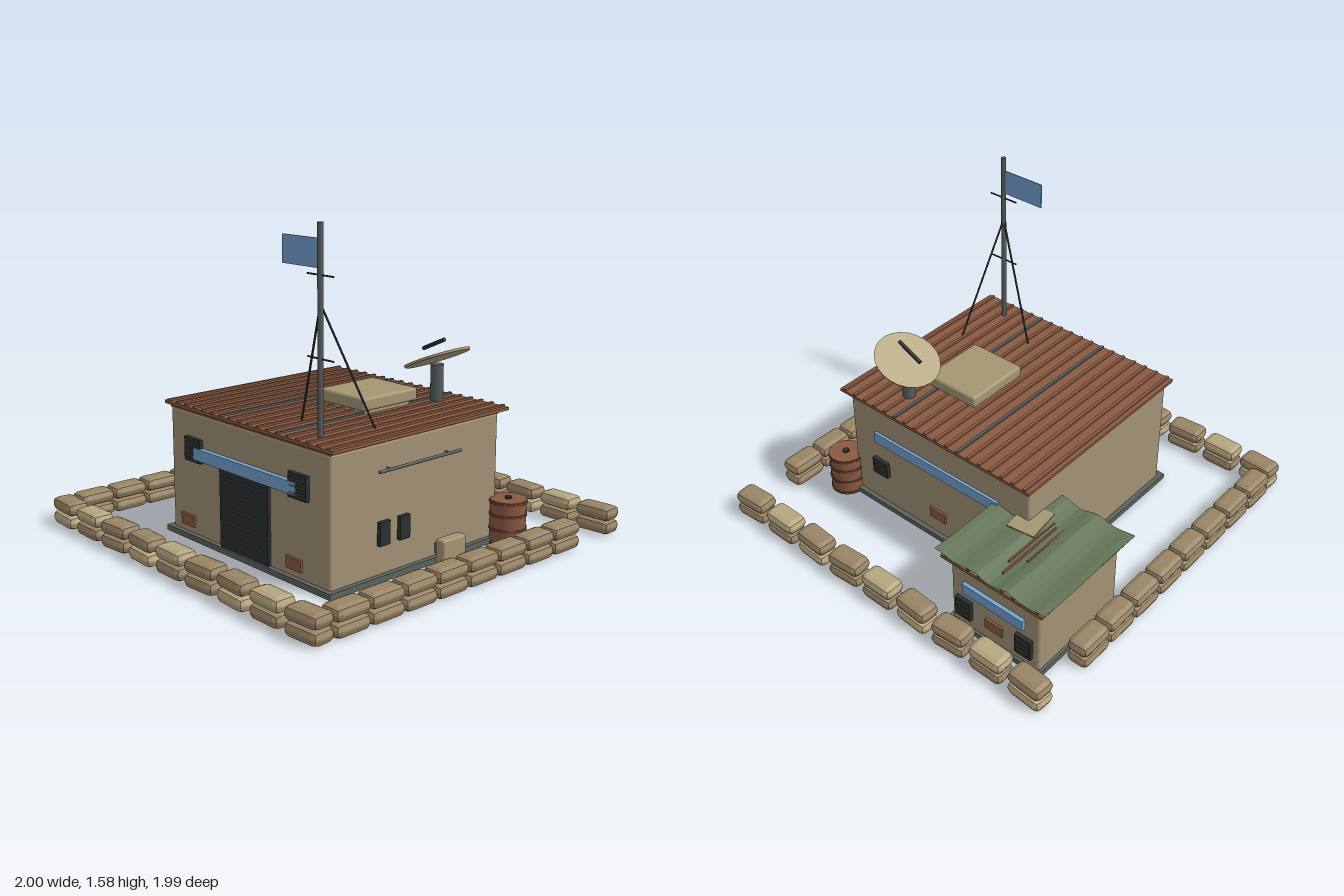
import * as THREE from 'three';
import { RoundedBoxGeometry } from 'three/addons/geometries/RoundedBoxGeometry.js';

const paint = (color, opts = {}) => new THREE.MeshStandardMaterial({ color, ...opts });
const MAT = {
  wall: paint(0xa39275), slab: paint(0x5c635f), rust: paint(0x8a5a42), rustDark: paint(0x6e4735),
  dark: paint(0x2b302f), slat: paint(0x454b49), steel: paint(0x565c5d), blue: paint(0x74a3d1),
  blueThin: paint(0x74a3d1, { side: THREE.DoubleSide }),
  tarp: paint(0x65775a, { side: THREE.DoubleSide, flatShading: true }),
  sand: paint(0xa59673), dish: paint(0xb8a983),
  bag: paint(0x9a8566, { flatShading: true }), bagLight: paint(0xb7a780, { flatShading: true }),
};

function add(parent, name, geometry, mat, x = 0, y = 0, z = 0) {
  const mesh = new THREE.Mesh(geometry, mat);
  mesh.name = name;
  mesh.position.set(x, y, z);
  parent.add(mesh);
  return mesh;
}

// box given by its extents on each axis, optionally with rounded edges
function block(parent, name, mat, [x0, x1], [y0, y1], [z0, z1], radius = 0) {
  const size = [x1 - x0, y1 - y0, z1 - z0];
  const geometry = radius ? new RoundedBoxGeometry(...size, 2, radius) : new THREE.BoxGeometry(...size);
  return add(parent, name, geometry, mat, (x0 + x1) / 2, (y0 + y1) / 2, (z0 + z1) / 2);
}

// round bar between two points
function rod(parent, name, mat, a, b, radius, sides = 8) {
  const p = new THREE.Vector3(...a), q = new THREE.Vector3(...b);
  const mesh = add(parent, name, new THREE.CylinderGeometry(radius, radius, p.distanceTo(q), sides), mat);
  mesh.position.copy(p).add(q).multiplyScalar(0.5);
  mesh.quaternion.setFromUnitVectors(new THREE.Vector3(0, 1, 0), q.sub(p).normalize());
  return mesh;
}

function group(parent, name) {
  const g = new THREE.Group();
  g.name = name;
  parent.add(g);
  return g;
}

// corrugated sheet with ribs along z
function corrugatedRoof(parent, name, x, y, z, ribs) {
  const g = group(parent, name);
  block(g, 'roofSheet', MAT.rust, x, y, z);
  const step = (x[1] - x[0] - 0.06) / (ribs - 1);
  for (let i = 0; i < ribs; i++) {
    const cx = x[0] + 0.03 + i * step;
    const mat = i % 6 === 0 && i > 0 && i < ribs - 1 ? MAT.steel : MAT.rust;
    block(g, 'roofRib', mat, [cx - 0.008, cx + 0.008], [y[1] - 0.003, y[1] + 0.009], [z[0] + 0.002, z[1] - 0.002]);
  }
}

// dark panel with slats, centred on a wall facing z (sign dir)
function shutter(parent, cx, cy, w, h, z, dir) {
  const g = group(parent, 'shutter');
  add(g, 'shutterPanel', new THREE.BoxGeometry(w, h, 0.024), MAT.dark, cx, cy, z + dir * 0.008);
  for (let i = -1; i <= 1; i++)
    add(g, 'shutterSlat', new THREE.BoxGeometry(w * 0.8, 0.008, 0.008), MAT.slat, cx, cy + i * h * 0.27, z + dir * 0.021);
}

// roller door with ribs, on a front wall
function rollerDoor(parent, x, y, z, ribs) {
  const g = group(parent, 'rollerDoor');
  block(g, 'doorPanel', MAT.dark, x, y, [z - 0.01, z + 0.016]);
  for (let i = 1; i <= ribs; i++) {
    const cy = y[0] + (y[1] - y[0]) * i / (ribs + 1);
    block(g, 'doorRib', MAT.slat, [x[0] + 0.005, x[1] - 0.005], [cy - 0.004, cy + 0.004], [z + 0.01, z + 0.021]);
  }
}

const rustyVent = (parent, cx, cy, z) =>
  add(parent, 'rustyVent', new THREE.BoxGeometry(0.1, 0.055, 0.02), MAT.rust, cx, cy, z);

function mainBuilding(root) {
  const g = group(root, 'mainBuilding');
  block(g, 'foundation', MAT.slab, [-0.515, 0.675], [0.012, 0.04], [-0.485, 0.625]);
  block(g, 'walls', MAT.wall, [-0.49, 0.65], [0.01, 0.64], [-0.46, 0.6], 0.014);
  block(g, 'ceiling', MAT.rustDark, [-0.49, 0.65], [0.635, 0.652], [-0.46, 0.6]);
  corrugatedRoof(g, 'mainRoof', [-0.52, 0.68], [0.65, 0.665], [-0.5, 0.615], 18);
  // front
  rollerDoor(g, [-0.095, 0.255], [0.03, 0.45], 0.6, 5);
  block(g, 'frontStripe', MAT.blue, [-0.285, 0.45], [0.42, 0.478], [0.595, 0.625]);
  for (const x of [-0.3, 0.457]) shutter(g, x, 0.462, 0.12, 0.115, 0.6, 1);
  for (const x of [-0.36, 0.42]) rustyVent(g, x, 0.1, 0.602);
  // back
  block(g, 'backStripe', MAT.blue, [-0.31, 0.49], [0.41, 0.47], [-0.475, -0.455]);
  for (const x of [-0.29, 0.46]) shutter(g, x, 0.26, 0.1, 0.09, -0.46, -1);
  for (const x of [-0.28, 0.08]) rustyVent(g, x, 0.16, -0.462);
  // left side
  for (const z of [0.295, 0.172])
    block(g, 'sideWindow', MAT.dark, [0.64, 0.67], [0.175, 0.285], [z - 0.031, z + 0.031]);
  rod(g, 'sidePipe', MAT.steel, [0.68, 0.52, -0.17], [0.68, 0.52, 0.345], 0.008);
  for (const z of [-0.1, 0.27]) rod(g, 'pipeBracket', MAT.steel, [0.645, 0.52, z], [0.68, 0.52, z], 0.005);
  block(g, 'utilityBox', MAT.sand, [0.69, 0.745], [0.01, 0.14], [-0.15, 0], 0.01);
  block(g, 'utilityBoxMount', MAT.steel, [0.645, 0.7], [0.05, 0.1], [-0.11, -0.04]);
  // roof hatch
  block(g, 'roofHatch', MAT.sand, [0.05, 0.357], [0.685, 0.748], [-0.22, 0.13], 0.014);
  block(g, 'hatchCurb', MAT.sand, [0.08, 0.33], [0.66, 0.69], [-0.19, 0.1]);
}

function annex(root) {
  const g = group(root, 'annex');
  block(g, 'annexFoundation', MAT.slab, [-0.865, -0.325], [0.012, 0.04], [-0.835, -0.245]);
  block(g, 'annexWalls', MAT.wall, [-0.85, -0.34], [0.01, 0.405], [-0.82, -0.26], 0.014);
  corrugatedRoof(g, 'annexRoof', [-0.885, -0.305], [0.41, 0.426], [-0.85, -0.23], 9);
  // front and back
  rollerDoor(g, [-0.68, -0.53], [0.03, 0.28], -0.26, 4);
  for (const [z, dir] of [[-0.26, 1], [-0.82, -1]]) {
    block(g, 'annexStripe', MAT.blue, [-0.77, -0.42], [0.253, 0.31], [z - 0.02, z + 0.02]);
    for (const x of [-0.77, -0.42])
      shutter(g, x, dir > 0 ? 0.29 : 0.15, dir > 0 ? 0.12 : 0.09, 0.11, z, dir);
  }
  rustyVent(g, -0.78, 0.1, -0.258);
  rustyVent(g, -0.595, 0.14, -0.822);
  block(g, 'annexSideWindow', MAT.dark, [-0.35, -0.325], [0.2, 0.29], [-0.68, -0.6]);
  // rumpled tarp over the roof
  const tarp = new THREE.PlaneGeometry(0.63, 0.64, 18, 8).rotateX(-Math.PI / 2).translate(-0.595, 0, -0.54);
  const p = tarp.attributes.position;
  for (let i = 0; i < p.count; i++) {
    const x = p.getX(i), z = p.getZ(i);
    const depth = Math.abs(x + 0.6) < 0.1 ? 0.012 : 0.007;
    p.setY(i, 0.447 - depth * Math.cos((x + 0.6) * 31) + 0.003 * Math.sin(z * 12));
  }
  tarp.computeVertexNormals();
  add(g, 'tarp', tarp, MAT.tarp);
  for (const [x, z0, z1] of [[-0.64, -0.65, -0.38], [-0.6, -0.77, -0.4], [-0.575, -0.7, -0.38]])
    block(g, 'rustStreak', MAT.rust, [x - 0.004, x + 0.004], [0.43, 0.448], [z0, z1]);
  add(g, 'roofPatch', new THREE.BoxGeometry(0.145, 0.006, 0.18), MAT.sand, -0.488, 0.456, -0.445).rotation.y = 0.13;
}

function satelliteDish(root) {
  const g = group(root, 'satelliteDish');
  rod(g, 'dishPost', MAT.steel, [0.38, 0.67, -0.325], [0.38, 0.85, -0.325], 0.032, 12);
  const bowl = add(g, 'dishBowl', new THREE.CylinderGeometry(0.164, 0.158, 0.012, 24), MAT.dish, 0.379, 0.878, -0.325);
  bowl.rotation.z = 0.42;
  rod(g, 'dishFeed', MAT.dark, [0.285, 0.91, -0.33], [0.42, 0.972, -0.33], 0.01);
}

function mast(root) {
  const g = group(root, 'antennaMast');
  const x = 0.492, z = 0.513;
  rod(g, 'mastPole', MAT.steel, [x, 0.66, z], [x, 1.585, z], 0.013, 10);
  for (const y of [1.01, 1.365]) rod(g, 'crossBar', MAT.dark, [0.41, y, z], [0.575, y, z], 0.004, 6);
  for (const [gx, gz] of [[0.225, 0.39], [0.535, 0.232]])
    rod(g, 'guyWire', MAT.dark, [x, 1.245, z], [gx, 0.665, gz], 0.005, 6);
  add(g, 'flag', new THREE.BoxGeometry(0.235, 0.125, 0.005), MAT.blueThin, 0.367, 1.455, z);
}

function barrel(root) {
  const g = group(root, 'barrel');
  g.position.set(0.715, 0, -0.475);
  add(g, 'barrelBody', new THREE.CylinderGeometry(0.086, 0.086, 0.215, 18), MAT.rust, 0, 0.1175, 0);
  for (const y of [0.02, 0.09, 0.16, 0.222])
    add(g, 'barrelBand', new THREE.CylinderGeometry(0.091, 0.091, 0.012, 18), MAT.rustDark, 0, y, 0);
  add(g, 'barrelLid', new THREE.CylinderGeometry(0.088, 0.088, 0.006, 18), MAT.rust, 0, 0.229, 0);
  add(g, 'barrelCap', new THREE.CylinderGeometry(0.017, 0.017, 0.012, 10), MAT.dark, 0, 0.235, 0);
}

// two layers of chamfered bags on all four sides
function sandbagWall(root) {
  const g = group(root, 'sandbagWall');
  const geometry = new RoundedBoxGeometry(0.192, 0.068, 0.116, 1, 0.03);
  const tilt = [-0.06, -0.01, 0.06];
  const bag = (x, z, layer, i, turn, mat) => {
    const mesh = add(g, 'sandbag', geometry, mat, x, 0.045 + layer * 0.068, z);
    mesh.rotation.y = turn;
  };
  for (let layer = 0; layer < 2; layer++)
    for (const side of [-1, 1]) {
      for (let i = 0; i < 9; i++)
        bag(-0.895 + i * 0.2238, side * 0.935, layer, i, tilt[i % 3], (i + 1 - layer) % 3 === 1 ? MAT.bagLight : MAT.bag);
      for (let i = 0; i < 8; i++)
        bag(side * 0.94, -0.58 + i * 0.194, layer, i, Math.PI / 2, MAT.bag);
    }
}

export function createModel() {
  const root = new THREE.Group();
  root.name = 'outpost';
  mainBuilding(root);
  annex(root);
  satelliteDish(root);
  mast(root);
  barrel(root);
  sandbagWall(root);
  return root;
}
